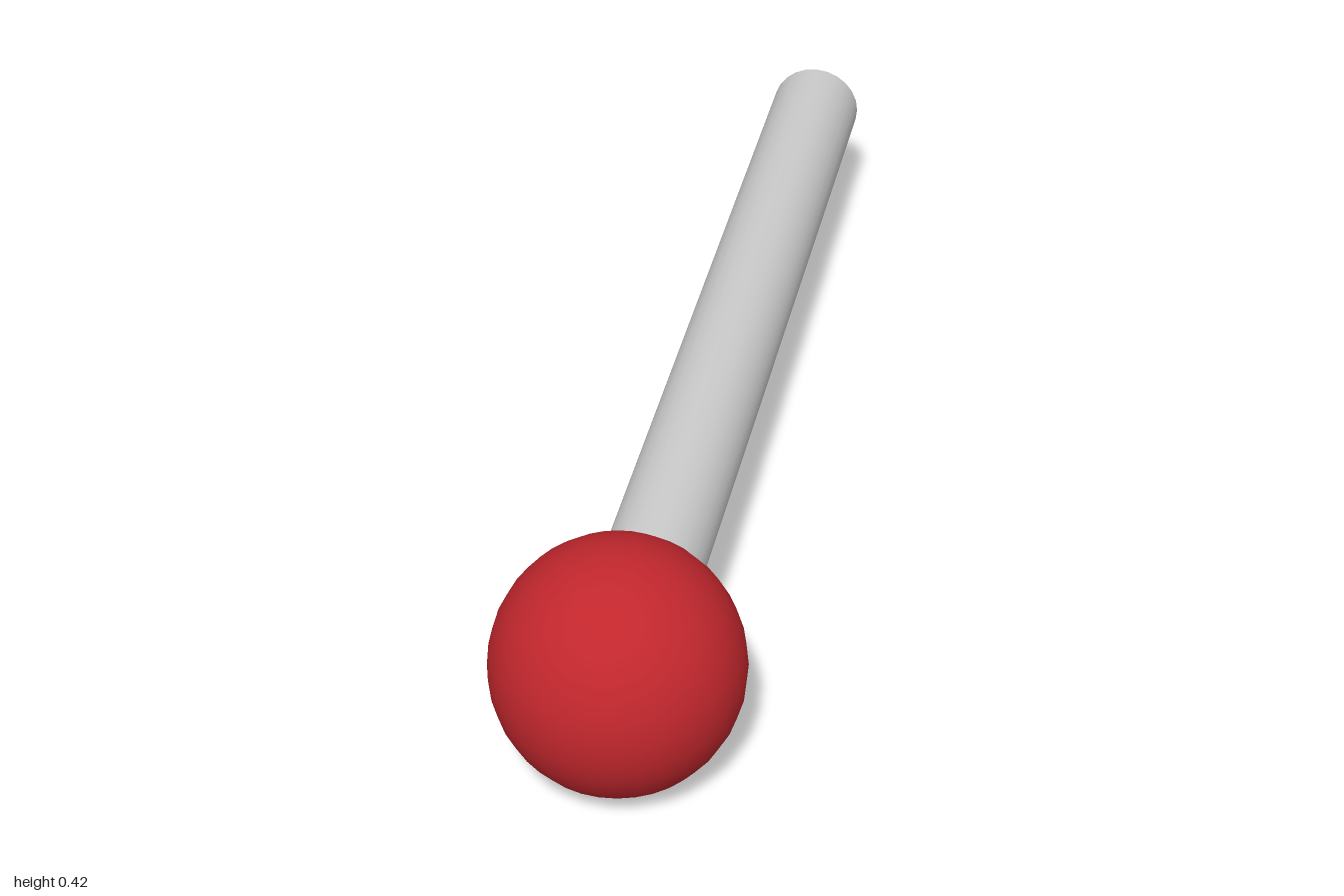
import * as THREE from 'three';

export function createModel() {
  const group = new THREE.Group();
  const grey = new THREE.MeshStandardMaterial({ color: 0xcccccc });
  const red = new THREE.MeshStandardMaterial({ color: 0xc1272d });
  const axisY = 0.211;

  // Ball head, very slightly taller than wide
  const ball = new THREE.Mesh(new THREE.SphereGeometry(0.203, 32, 16), red);
  ball.name = 'ballHead';
  ball.scale.y = 1.035;
  ball.position.set(0, axisY, 0.797);
  group.add(ball);

  // Straight rod with a softened tip at the back, sunk into the ball at the front
  const profile = [
    [0, -1], [0.044, -1], [0.083, -0.973], [0.083, 0.68], [0, 0.68],
  ].map(([r, z]) => new THREE.Vector2(r, z));
  const rod = new THREE.Mesh(new THREE.LatheGeometry(profile, 24).rotateX(Math.PI / 2), grey);
  rod.name = 'rod';
  rod.position.y = axisY + 0.002;
  group.add(rod);

  return group;
}
